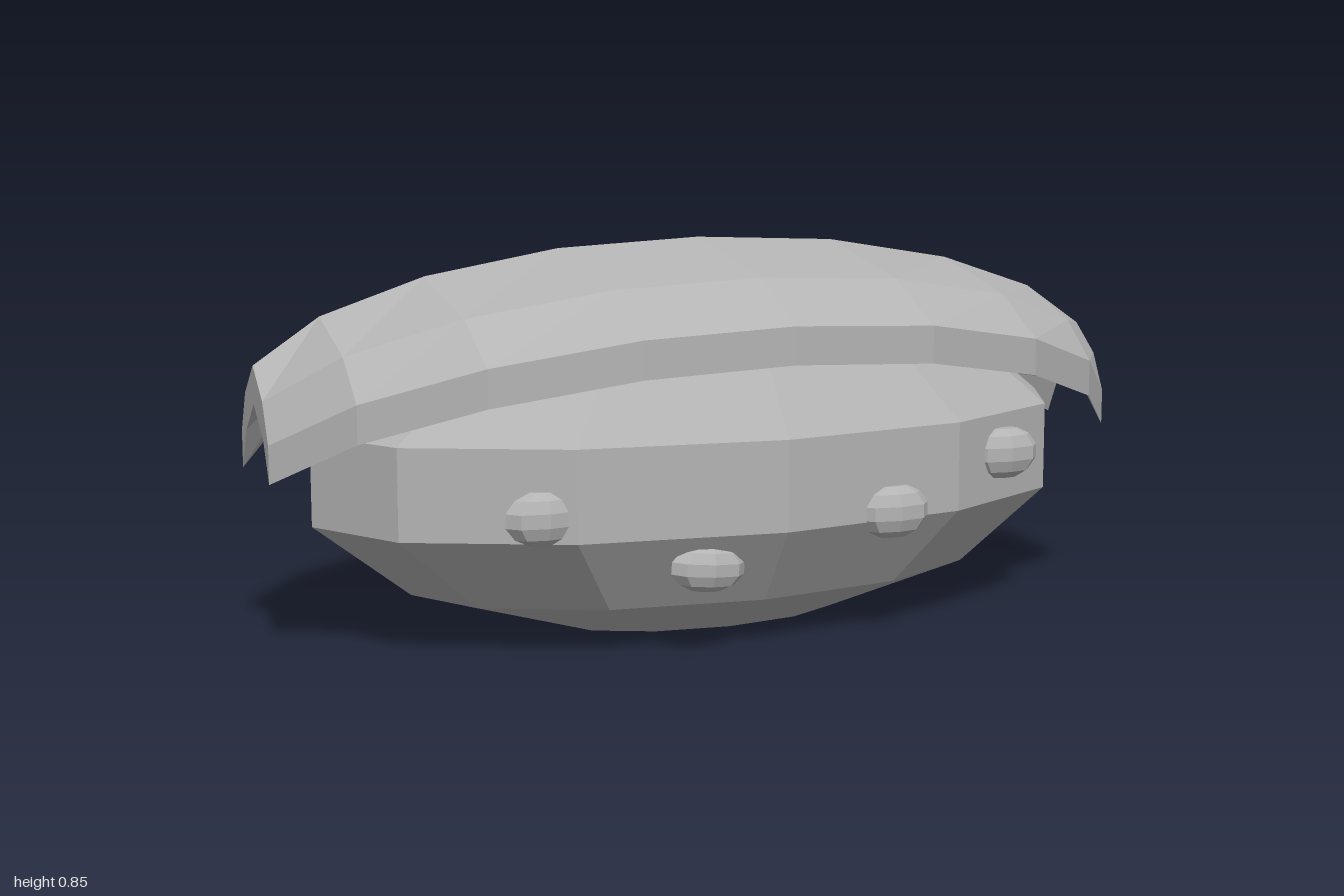
import * as THREE from 'three';

const grey = new THREE.MeshStandardMaterial({ color: 0xb4b4b4, flatShading: true });
grey.name = 'grey';

// Faceted pebble: a blunt ellipsoid with flat top and bottom, centred on its origin
function pebble(name, sides, rx, ry, rz) {
  const half = [[0.38, 1], [0.76, 0.73], [1, 0.27]];
  const profile = [
    [0, -1], ...half.map(([r, y]) => [r, -y]),
    ...half.slice().reverse(), [0, 1],
  ].map(([r, y]) => new THREE.Vector2(r, y));
  const geometry = new THREE.LatheGeometry(profile, sides);
  geometry.scale(rx, ry, rz);
  const mesh = new THREE.Mesh(geometry, grey);
  mesh.name = name;
  return mesh;
}

// Arched shell: one cross-section swept along x, its width and height set per station
function shellGeometry() {
  const half = [[0, 0.845, 0.49], [0.33, 0.83, 0.475], [0.63, 0.78, 0.4], [0.858, 0.705, 0.27], [1, 0.61, 0.115]];
  const stations = [...half.slice(1).reverse().map(([x, y, z]) => [-x, y, z]), ...half];
  const arch = [[-1, -0.15], [-0.65, -0.065], [0, 0], [0.65, -0.065], [1, -0.15]];
  const thickness = 0.08;
  const loop = [...arch, ...arch.slice().reverse().map(([z, y]) => [z, y - thickness])];
  const n = loop.length;
  const positions = [];
  const index = [];
  for (const [x, y, w] of stations) {
    for (const [z, dy] of loop) positions.push(x, y + dy, z * w);
  }
  for (let s = 0; s < stations.length - 1; s++) {
    for (let i = 0; i < n; i++) {
      const a = s * n + i, b = s * n + ((i + 1) % n);
      index.push(a, b, a + n, b, b + n, a + n);
    }
  }
  // End caps between the upper and lower arches
  const last = (stations.length - 1) * n;
  for (let i = 0; i < arch.length - 1; i++) {
    const a = i, b = i + 1, c = n - 2 - i, d = n - 1 - i;
    index.push(a, c, b, a, d, c);
    index.push(last + a, last + b, last + c, last + a, last + c, last + d);
  }
  const geometry = new THREE.BufferGeometry();
  geometry.setAttribute('position', new THREE.Float32BufferAttribute(positions, 3));
  geometry.setIndex(index);
  geometry.computeVertexNormals();
  return geometry;
}

export function createModel() {
  const group = new THREE.Group();
  group.name = 'shellTopModel';

  // Rounded body
  const body = pebble('body', 12, 0.885, 0.36, 0.46);
  body.position.y = 0.36;
  group.add(body);

  // Overhanging top shell
  const shell = new THREE.Mesh(shellGeometry(), grey);
  shell.name = 'topShell';
  group.add(shell);

  // Small bumps across the front: x, y, z, height, tilt
  const bumps = [
    [-0.5, 0.315, 0.36, 0.055, 0],
    [-0.155, 0.19, 0.4, 0.048, -0.08],
    [0.27, 0.28, 0.42, 0.055, 0],
    [0.6, 0.37, 0.327, 0.055, 0],
  ];
  bumps.forEach(([x, y, z, h, tilt], i) => {
    const bump = pebble('bump' + (i + 1), 8, 0.083, h, 0.038);
    bump.position.set(x, y, z);
    bump.rotation.z = tilt;
    group.add(bump);
  });

  return group;
}
